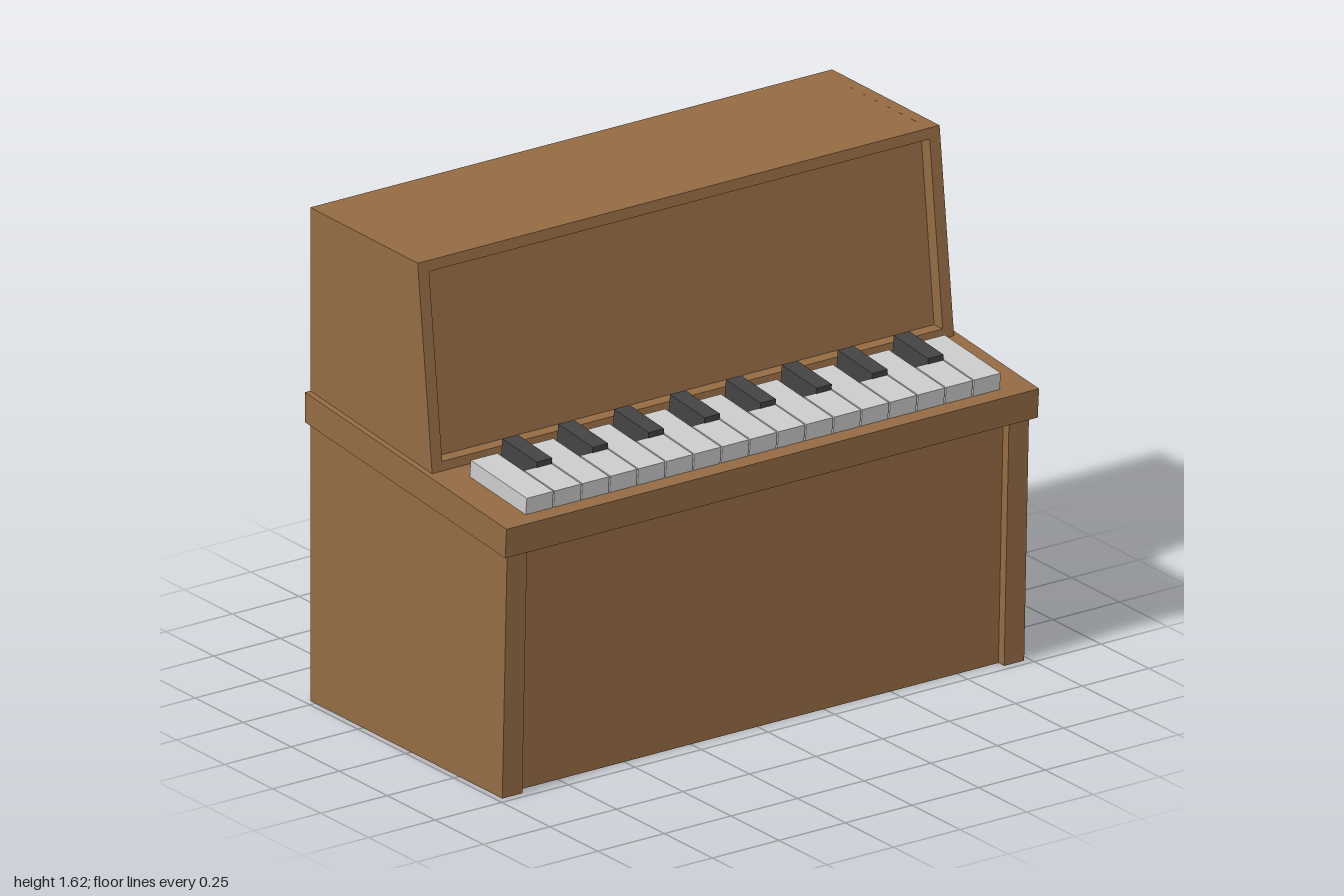
import * as THREE from 'three';

const paint = (color) => new THREE.MeshStandardMaterial({ color, flatShading: true });
const wood = paint(0x946b43);
const ivory = paint(0xcccccc);
const ebony = paint(0x444444);

// Solid with a side profile of [z, y] points, running from x0 to x1
function slab(name, points, x0, x1, material = wood) {
  const shape = new THREE.Shape(points.map(([z, y]) => new THREE.Vector2(-z, y)));
  const geometry = new THREE.ExtrudeGeometry(shape, { depth: x1 - x0, bevelEnabled: false });
  geometry.rotateY(Math.PI / 2).translate(x0, 0, 0);
  const mesh = new THREE.Mesh(geometry, material);
  mesh.name = name;
  return mesh;
}

const BACK = -0.525, SLOPE = 0.108;
const shelfY = (z) => 0.902 + (0.525 - z) * SLOPE; // top of the sloping key shelf
const lowerZ = (y) => 0.475 + y * 0.031; // leaning front of the lower case
const upperZ = (y) => 0.11 - (y - 0.945) * 0.113; // leaning front of the upper case

export function createModel() {
  const model = new THREE.Group();

  // Lower case: recessed front panel between two stiles
  const lower = (inset) => [
    [BACK, 0], [lowerZ(0) - inset, 0], [lowerZ(0.82) - inset, 0.82], [BACK, 0.93],
  ];
  model.add(slab('lowerCase', lower(0.03), -0.905, 0.905));
  for (const side of [-1, 1]) {
    const xs = [side * 0.905, side * 0.98].sort((a, b) => a - b);
    model.add(slab('lowerSide', lower(0), ...xs));
  }

  // Sloping key shelf
  model.add(slab('keyShelf', [
    [BACK, shelfY(BACK) - 0.098], [0.518, 0.805], [0.525, shelfY(0.525)], [BACK, shelfY(BACK)],
  ], -1, 1));

  // Upper case: recessed panel framed by sides and rails
  const upper = (inset) => [
    [BACK, 1.0], [upperZ(0.93) - inset, 0.93], [upperZ(1.612) - inset, 1.612], [BACK, 1.616],
  ];
  model.add(slab('upperPanel', upper(0.045), -0.94, 0.94));
  for (const side of [-1, 1]) {
    const xs = [side * 0.94, side * 0.98].sort((a, b) => a - b);
    model.add(slab('upperSide', upper(0), ...xs));
  }
  for (const [name, y0, y1] of [['bottomRail', 0.93, 0.977], ['topRail', 1.577, 1.612]]) {
    model.add(slab(name, [
      [upperZ(y0) - 0.06, y0], [upperZ(y0), y0], [upperZ(y1), y1], [upperZ(y1) - 0.06, y1],
    ], -0.94, 0.94));
  }

  // Keys lie square on the sloping shelf
  function key(name, x, width, zBack, zFront, height, material) {
    const lean = height * SLOPE;
    model.add(slab(name, [
      [zBack - lean, shelfY(zBack) - 0.004], [zFront - lean, shelfY(zFront) - 0.004],
      [zFront, shelfY(zFront) + height], [zBack, shelfY(zBack) + height],
    ], x - width / 2, x + width / 2, material));
  }
  for (let i = 0; i < 17; i++) {
    const x = (i - 8) * 0.105;
    const short = i % 2 === 1;
    key('whiteKey', x, 0.1, short ? 0.32 : 0.186, 0.478, 0.056, ivory);
    if (short) key('blackKey', x + 0.022, 0.058, 0.145, 0.325, 0.075, ebony);
  }
  return model;
}
